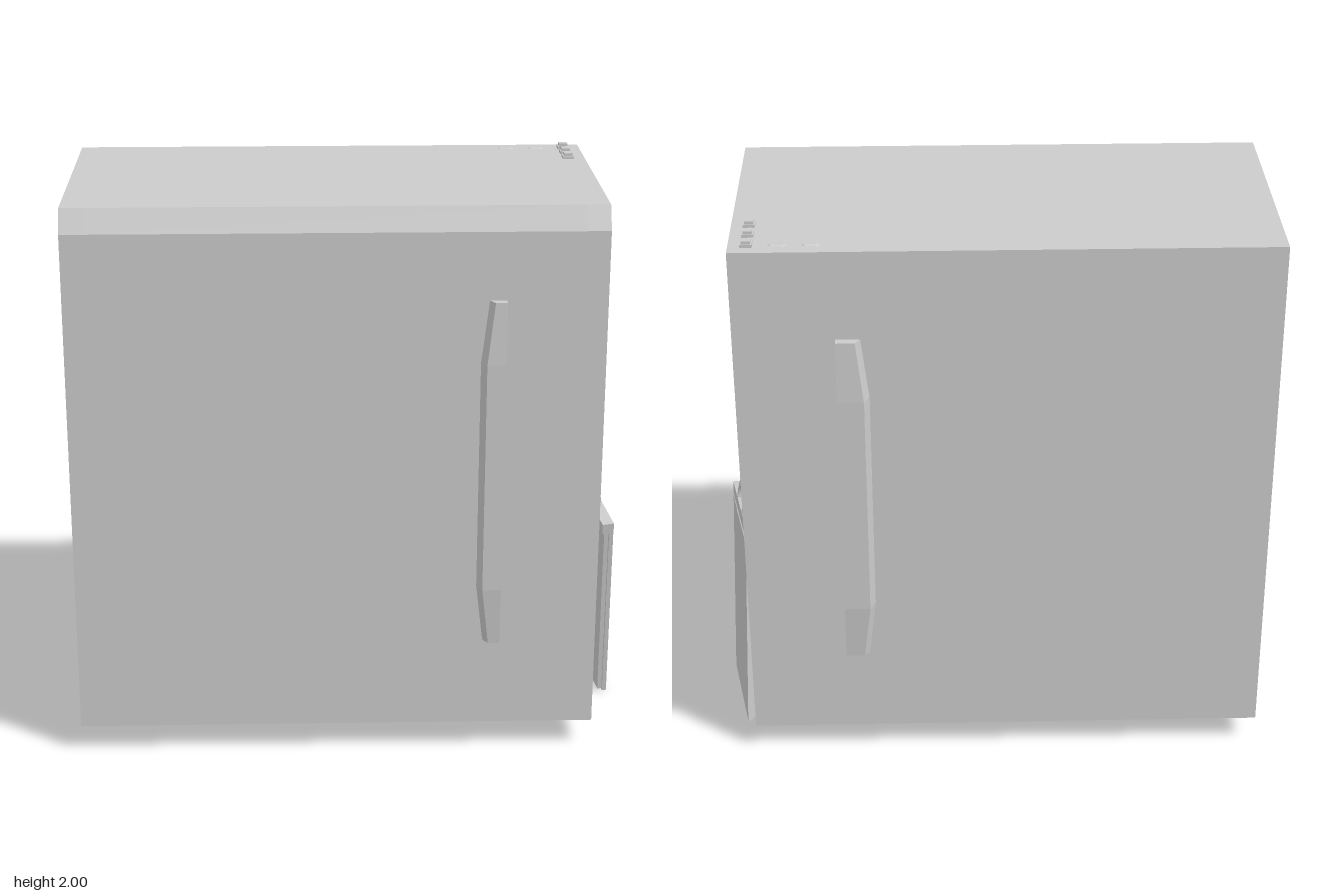
import * as THREE from 'three';

const grey = new THREE.MeshStandardMaterial({ color: 0xcccccc, flatShading: true });
const greyTwoSided = new THREE.MeshStandardMaterial({ color: 0xcccccc, flatShading: true, side: THREE.DoubleSide });

function add(parent, name, geometry, material = grey) {
  const mesh = new THREE.Mesh(geometry, material);
  mesh.name = name;
  parent.add(mesh);
  return mesh;
}

function box(parent, name, size, pos) {
  const mesh = add(parent, name, new THREE.BoxGeometry(...size));
  mesh.position.set(...pos);
  return mesh;
}

// Outlines are lists of [z, y]; a slab is extruded along x from x0 to x1.
const toPoints = (outline) => outline.map(([z, y]) => new THREE.Vector2(-z, y));
const rect = (z0, z1, y0, y1) => [[z0, y0], [z1, y0], [z1, y1], [z0, y1]];

function slab(parent, name, outline, holes, x0, x1) {
  const shape = new THREE.Shape(toPoints(outline));
  holes.forEach((h) => shape.holes.push(new THREE.Path(toPoints(h))));
  const geometry = new THREE.ExtrudeGeometry(shape, { depth: x1 - x0, bevelEnabled: false });
  geometry.rotateY(Math.PI / 2).translate(x0, 0, 0);
  return add(parent, name, geometry);
}

// Skin joining equal rings of [x, y, z] points, with optional end caps.
function loft(rings, capped) {
  const n = rings[0].length;
  const index = [];
  for (let r = 0; r < rings.length - 1; r++) {
    for (let i = 0; i < n; i++) {
      const a = r * n + i, b = r * n + (i + 1) % n;
      index.push(a, b, b + n, a, b + n, a + n);
    }
  }
  if (capped) {
    const last = (rings.length - 1) * n;
    for (let i = 1; i < n - 1; i++) index.push(0, i + 1, i, last, last + i, last + i + 1);
  }
  const geometry = new THREE.BufferGeometry();
  geometry.setAttribute('position', new THREE.Float32BufferAttribute(rings.flat(2), 3));
  geometry.setIndex(index);
  const flat = geometry.toNonIndexed();
  flat.computeVertexNormals();
  return flat;
}

function buildCase(group) {
  // Chamfered top edge on the front
  const profile = [[-0.48, 0.1], [0.47, 0.1], [0.47, 1.9], [0.43, 1.98], [-0.48, 1.98]];
  slab(group, 'caseCore', profile, [], -0.89, 0.77);

  // Control end (+x): tray, arrows, vents and door opening
  const tray = [[0.44, 1.78], [-0.13, 1.78], [-0.12, 1.91], [0.43, 1.91]];
  const arrowUp = [[-0.2, 1.78], [-0.27, 1.78], [-0.235, 1.93]];
  const arrowDown = [[-0.345, 1.93], [-0.425, 1.93], [-0.385, 1.78]];
  const vents = [
    [[0.41, 1.645], [-0.41, 1.645], [-0.42, 1.67], [0.42, 1.67]],
    rect(0.42, -0.42, 1.56, 1.6),
    [[0.42, 1.49], [-0.42, 1.49], [-0.41, 1.515], [0.41, 1.515]],
  ];
  const opening = rect(0.425, -0.43, 0.2, 1.345);
  slab(group, 'controlEnd', profile, [tray, arrowUp, arrowDown, ...vents, opening], 0.77, 0.85);
  [arrowUp, arrowDown].forEach((o) => slab(group, 'arrowFloor', o, [], 0.77, 0.825));
  vents.forEach((o) => slab(group, 'ventFloor', o, [], 0.77, 0.815));
  slab(group, 'openingFloor', opening, [], 0.77, 0.815);
  const trayInner = [[0.4, 1.78], [-0.1, 1.78], [-0.1, 1.885], [0.4, 1.885]];
  add(group, 'trayWalls', loft([tray.map(([z, y]) => [0.85, y, z]),
    trayInner.map(([z, y]) => [0.772, y, z])], false), greyTwoSided);

  // Connector end (-x): key bay above, port bay below
  const keyBay = [[-0.39, 1.55], [0.385, 1.55], [0.385, 1.87], [0.36, 1.9], [-0.36, 1.9], [-0.39, 1.87]];
  const portBay = [[-0.38, 0.2], [0.375, 0.2], [0.375, 1.2], [0.285, 1.345], [-0.29, 1.345], [-0.38, 1.2]];
  slab(group, 'connectorEnd', profile, [keyBay, portBay], -0.97, -0.89);
  slab(group, 'keyBayFloor', keyBay, [rect(-0.18, 0.35, 1.775, 1.87)], -0.925, -0.89);
  const ports = [1.03, 0.9, 0.77, 0.64, 0.5].map((y) => rect(-0.365, -0.26, y - 0.033, y + 0.033));
  ports.push(rect(-0.19, 0.02, 0.94, 1.08), rect(-0.19, 0.02, 0.455, 0.525));
  slab(group, 'portBayFloor', portBay, ports, -0.93, -0.89);
}

// Staggered rows of keys, with a short block beside the display
function buildKeys(group) {
  const keys = new THREE.Group();
  keys.name = 'keys';
  group.add(keys);
  for (let row = 0; row < 6; row++) {
    for (let col = 0; col < 11; col++) {
      if (row > 3 && col > 2) continue;
      const y = 1.587 + row * 0.053 + (col % 2) * 0.012;
      box(keys, 'key', [0.025, 0.036, 0.05], [-0.93, y, -0.345 + col * 0.068]);
    }
  }
}

// Grip with tapered ends and an undercut on its +x side
function handle(group, name, side, wall, left) {
  const rings = [[0.42, 0.025, 0.51, 0.025], [0.63, 0, 0.46, 0.042],
    [1.45, 0, 0.46, 0.042], [1.665, 0.025, 0.51, 0.03]];
  const sections = rings.map(([y, taper, base, out]) => [
    [left + taper, y, side * (wall - 0.005)],
    [left + taper + 0.02, y, side * (wall + out)],
    [0.51, y, side * (wall + out)],
    [base, y, side * (wall - 0.005)],
  ]);
  add(group, name, loft(sections, true), greyTwoSided);
}

// Loose cover leaning on the control end, built flat and then tilted
function buildCover(group) {
  const cover = new THREE.Group();
  cover.name = 'looseCover';
  box(cover, 'coverPanel', [0.5, 0.74, 0.016], [0.253, 0.37, 0.008]);
  box(cover, 'coverBacking', [0.485, 0.73, 0.016], [0.253, 0.37, -0.008]);
  box(cover, 'coverRim', [0.505, 0.04, 0.042], [0.253, 0.73, -0.005]);

  // Half-ring pull
  const arch = new THREE.Shape();
  arch.absarc(0, 0, 0.1, 0, Math.PI, false);
  arch.absarc(0, 0, 0.074, Math.PI, 0, true);
  const ring = add(cover, 'coverPull',
    new THREE.ExtrudeGeometry(arch, { depth: 0.04, bevelEnabled: false, curveSegments: 10 }));
  ring.position.set(0.253, 0.745, -0.025);
  ring.rotation.x = -0.12;

  // Row of rivets under the rim
  for (let i = 0; i < 24; i++) {
    box(cover, 'rivet', [0.006, 0.006, 0.003], [0.02 + i * 0.0203, 0.703, 0.017]);
  }

  const u = new THREE.Vector3(-0.085, 0.09, -0.49).normalize();
  const n = u.clone().cross(new THREE.Vector3(-0.02, 0.735, 0.14)).normalize();
  const v = n.clone().cross(u);
  cover.quaternion.setFromRotationMatrix(new THREE.Matrix4().makeBasis(u, v, n));
  cover.position.set(0.95, 0.003, 0.05);
  group.add(cover);
}

export function createModel() {
  const group = new THREE.Group();
  group.name = 'computerTower';
  buildCase(group);
  buildKeys(group);
  handle(group, 'frontHandle', 1, 0.47, 0.425);
  handle(group, 'backHandle', -1, 0.48, 0.4);

  // Buttons and small indicator lights on top
  [-0.42, -0.34, -0.26].forEach((z) => {
    box(group, 'button', [0.04, 0.012, 0.04], [0.79, 1.984, z]);
    box(group, 'buttonCap', [0.03, 0.012, 0.03], [0.79, 1.994, z]);
  });
  [0.58, 0.69].forEach((x) => {
    const light = add(group, 'indicatorLight', new THREE.CapsuleGeometry(0.0125, 0.035, 3, 8));
    light.rotation.z = Math.PI / 2;
    light.scale.x = 0.4;
    light.position.set(x, 1.979, -0.42);
  });

  buildCover(group);
  return group;
}
